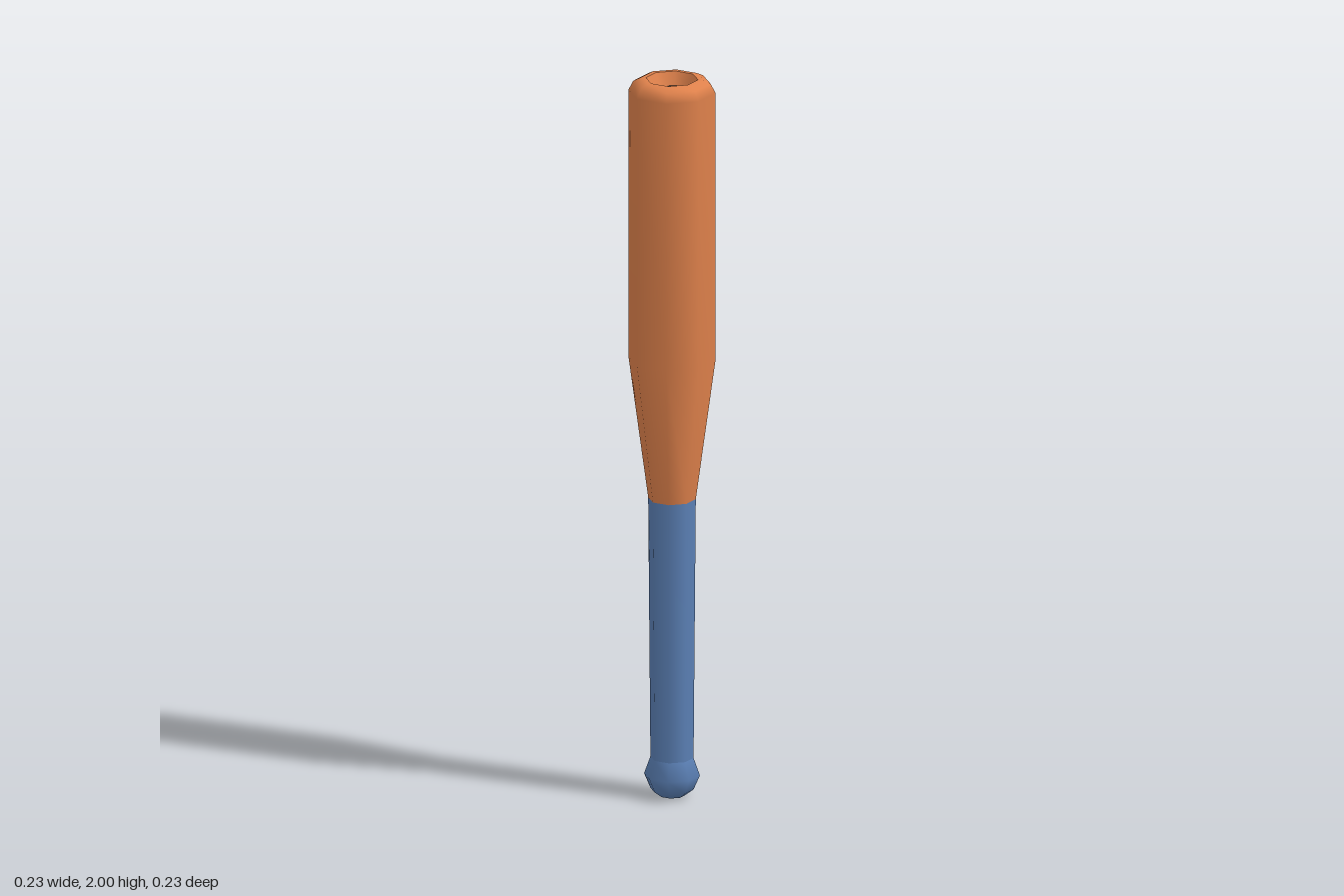
import * as THREE from 'three';

const SIDES = 8;

function material(name, color) {
  const m = new THREE.MeshStandardMaterial({ color });
  m.name = name;
  return m;
}

// Turns a [radius, height] profile, listed from bottom to top, around y
function turned(name, profile, mat) {
  const points = profile.map(([r, y]) => new THREE.Vector2(r, y));
  const mesh = new THREE.Mesh(new THREE.LatheGeometry(points, SIDES), mat);
  mesh.name = name;
  return mesh;
}

export function createModel() {
  const orange = material('orange barrel', 0xe0824c);
  const blue = material('blue grip', 0x5b80b5);
  const dark = material('dark cup floor', 0x343434);

  const bat = new THREE.Group();
  bat.name = 'bat';
  bat.add(
    // Rounded end knob
    turned('knob', [[0, 0], [0.035, 0.003], [0.058, 0.02], [0.075, 0.06], [0.058, 0.108]], blue),
    // Slightly widening grip
    turned('grip', [[0.058, 0.108], [0.064, 0.83]], blue),
    // Taper, barrel and rounded tip
    turned('barrel', [[0.064, 0.83], [0.117, 1.22], [0.117, 1.965], [0.104, 1.99], [0.084, 2], [0.07, 2]], orange),
    // Hollow in the tip
    turned('cupWall', [[0.07, 2], [0.054, 1.965]], orange),
    turned('cupFloor', [[0.054, 1.965], [0, 1.965]], dark),
  );
  return bat;
}
